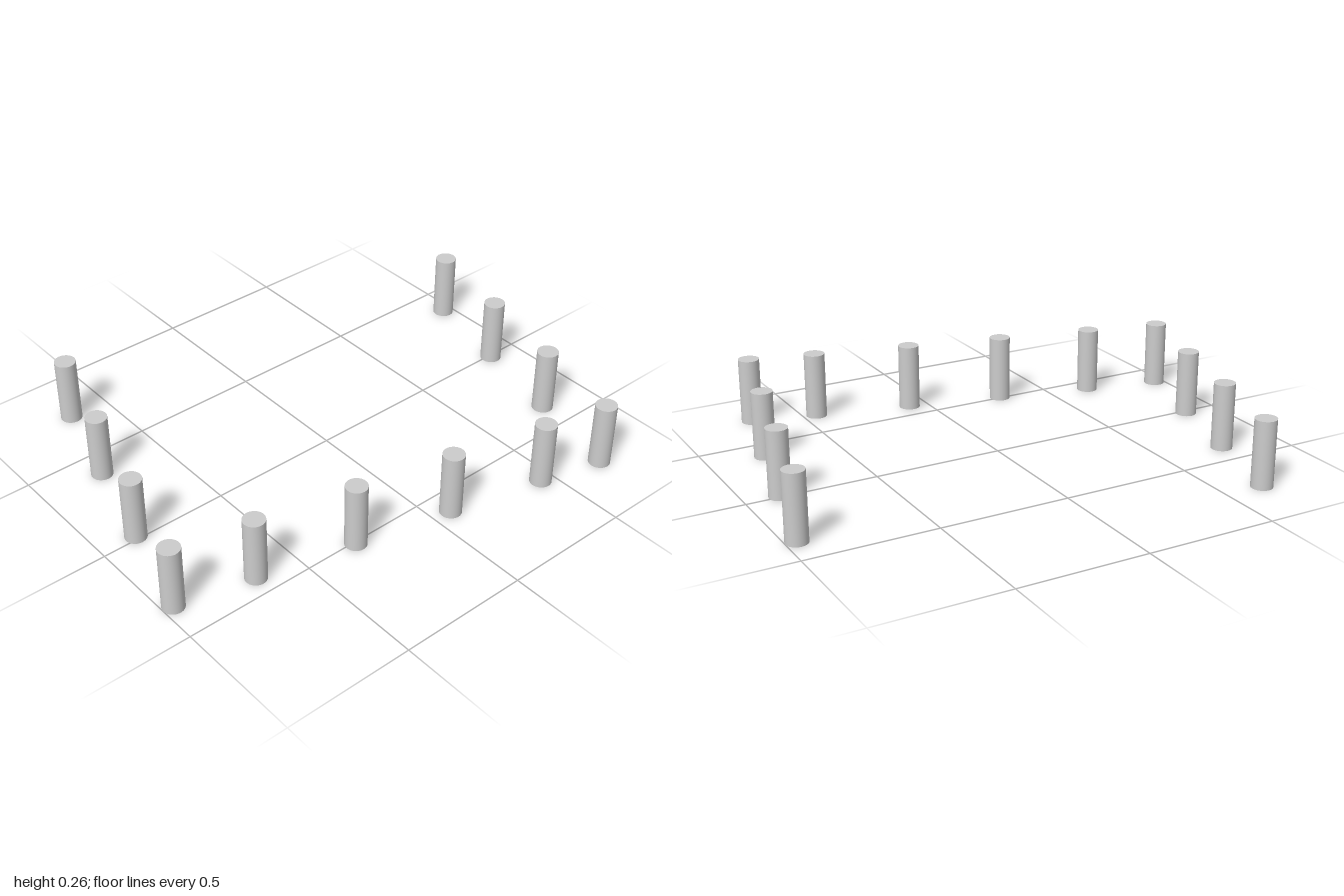
import * as THREE from 'three';

const RADIUS = 0.041;
const HEIGHT = 0.26;
const POSTS_PER_ROW = 4;

// Each row runs in a straight line between two [x, z] ends
const ROWS = [
  { name: 'backRow', from: [-0.364, -0.959], to: [0.748, -0.695] },
  { name: 'sideRow', from: [0.685, -0.446], to: [0.418, 0.665] },
  { name: 'frontRow', from: [0.35, 0.959], to: [-0.751, 0.655] },
];

export function createModel() {
  const model = new THREE.Group();
  model.name = 'postRows';

  const material = new THREE.MeshStandardMaterial({ color: 0xcccccc });

  // Smooth round post with flat caps, standing on the ground
  const postGeometry = new THREE.CylinderGeometry(RADIUS, RADIUS, HEIGHT, 48);
  postGeometry.translate(0, HEIGHT / 2, 0);

  for (const { name, from, to } of ROWS) {
    const row = new THREE.Group();
    row.name = name;
    for (let i = 0; i < POSTS_PER_ROW; i++) {
      const t = i / (POSTS_PER_ROW - 1);
      const post = new THREE.Mesh(postGeometry, material);
      post.name = `post${i + 1}`;
      post.position.set(
        THREE.MathUtils.lerp(from[0], to[0], t),
        0,
        THREE.MathUtils.lerp(from[1], to[1], t),
      );
      row.add(post);
    }
    model.add(row);
  }

  return model;
}
